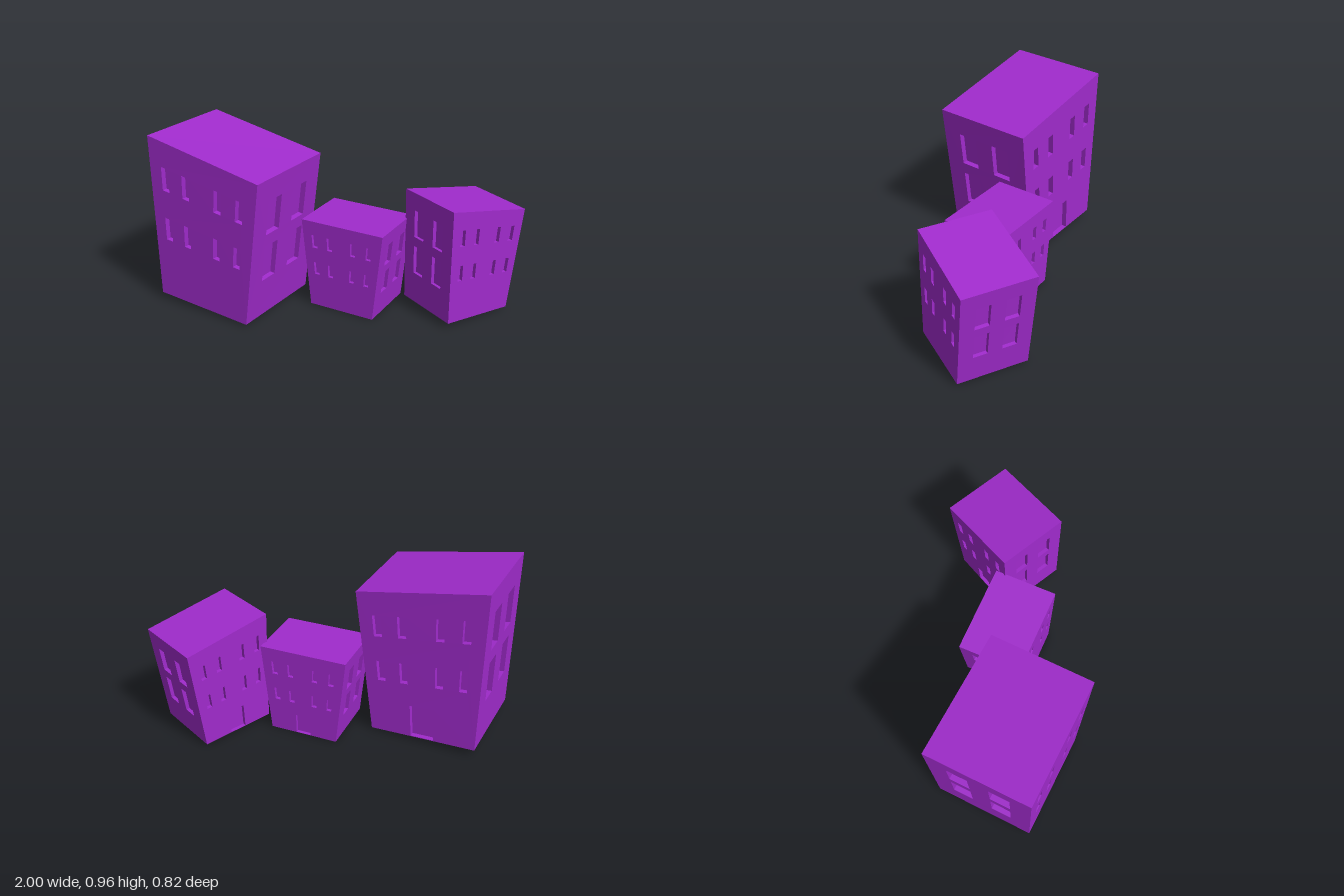
import * as THREE from 'three';

const purple = new THREE.MeshStandardMaterial({ color: 0xa02bcc });
purple.name = 'purple';

// Corners run front left, front right, back right, back left of each house: [x, y, z]
const HOUSES = [
  {
    name: 'tallHouse',
    base: [[-0.985, 0.04, 0.11], [-0.45, 0.01, 0.365], [-0.21, 0.01, -0.14], [-0.745, 0.04, -0.395]],
    top: [[-1, 0.965, 0.105], [-0.35, 0.833, 0.412], [-0.11, 0.833, -0.107], [-0.757, 0.965, -0.412]],
  },
  {
    name: 'lowHouse',
    base: [[-0.145, 0, 0.062], [0.21, 0, 0.21], [0.345, 0, -0.12], [-0.01, 0, -0.268]],
    top: [[-0.195, 0.5, 0.04], [0.26, 0.5, 0.23], [0.395, 0.5, -0.1], [-0.06, 0.5, -0.29]],
  },
  {
    name: 'middleHouse',
    base: [[0.62, 0.03, 0.255], [0.935, 0.01, -0.015], [0.685, 0.01, -0.315], [0.37, 0.03, -0.045]],
    top: [[0.62, 0.67, 0.255], [0.998, 0.58, -0.063], [0.74, 0.58, -0.37], [0.362, 0.67, -0.052]],
  },
];

// Openings in wall fractions: [u0, v0, u1, v1]
const grid = (columns, rows, halfWidth) =>
  rows.flatMap(([v0, v1]) => columns.map((u) => [u - halfWidth, v0, u + halfWidth, v1]));
const SMALL = grid([0.145, 0.345, 0.65, 0.855], [[0.38, 0.52], [0.695, 0.84]], 0.034);
const LARGE = grid([0.3, 0.7], [[0.27, 0.52], [0.605, 0.845]], 0.1);
const DOOR = [0.39, 0.004, 0.61, 0.225];
const WALLS = [
  { name: 'frontWall', openings: SMALL, depth: 0.052 },
  { name: 'rightWall', openings: LARGE, depth: 0.045 },
  { name: 'backWall', openings: [...SMALL, DOOR], depth: 0.052 },
  { name: 'leftWall', openings: LARGE, depth: 0.045 },
];

const rectPoints = ([u0, v0, u1, v1]) =>
  [[u0, v0], [u1, v0], [u1, v1], [u0, v1]].map(([u, v]) => new THREE.Vector2(u, v));

// Flat-shaded mesh from a list of quads, each four Vector3 corners
function quadMesh(name, quads) {
  const points = quads.flatMap(([a, b, c, d]) => [a, b, c, a, c, d]);
  const geometry = new THREE.BufferGeometry().setFromPoints(points);
  geometry.computeVertexNormals();
  const mesh = new THREE.Mesh(geometry, purple);
  mesh.name = name;
  return mesh;
}

// Maps (u across, v up, w inward) of wall i into the leaning house volume
function wallMap(base, top, i) {
  const corner = (list, k) => list[(i + k) % 4];
  return (u, v, w) => {
    const across = (list) => corner(list, 0).clone().lerp(corner(list, 1), u)
      .lerp(corner(list, 3).clone().lerp(corner(list, 2), u), w);
    return across(base).lerp(across(top), v);
  };
}

// Wall with holes, plus the recessed reveals and panes
function makeWall({ name, openings, depth }, map) {
  const group = new THREE.Group();
  group.name = name;

  const shape = new THREE.Shape(rectPoints([0, 0, 1, 1]));
  openings.forEach((o) => shape.holes.push(new THREE.Path(rectPoints(o))));
  const geometry = new THREE.ShapeGeometry(shape).toNonIndexed();
  const position = geometry.attributes.position;
  for (let i = 0; i < position.count; i++) {
    const p = map(position.getX(i), position.getY(i), 0);
    position.setXYZ(i, p.x, p.y, p.z);
  }
  geometry.computeVertexNormals();
  const surface = new THREE.Mesh(geometry, purple);
  surface.name = name + 'Surface';
  group.add(surface);

  openings.forEach((opening) => {
    const outline = rectPoints(opening);
    const outer = outline.map((p) => map(p.x, p.y, 0));
    const inner = outline.map((p) => map(p.x, p.y, depth));
    const reveals = outer.map((p, k) => [p, outer[(k + 1) % 4], inner[(k + 1) % 4], inner[k]]);
    group.add(quadMesh(opening === DOOR ? 'door' : 'window', [...reveals, inner]));
  });
  return group;
}

function makeHouse({ name, base, top }) {
  const house = new THREE.Group();
  house.name = name;
  const b = base.map((p) => new THREE.Vector3(...p));
  const t = top.map((p) => new THREE.Vector3(...p));
  WALLS.forEach((wall, i) => house.add(makeWall(wall, wallMap(b, t, i))));
  house.add(quadMesh('roof', [t]));
  house.add(quadMesh('floor', [[...b].reverse()]));
  return house;
}

export function createModel() {
  const model = new THREE.Group();
  model.name = 'crookedHouses';
  HOUSES.forEach((house) => model.add(makeHouse(house)));
  return model;
}
